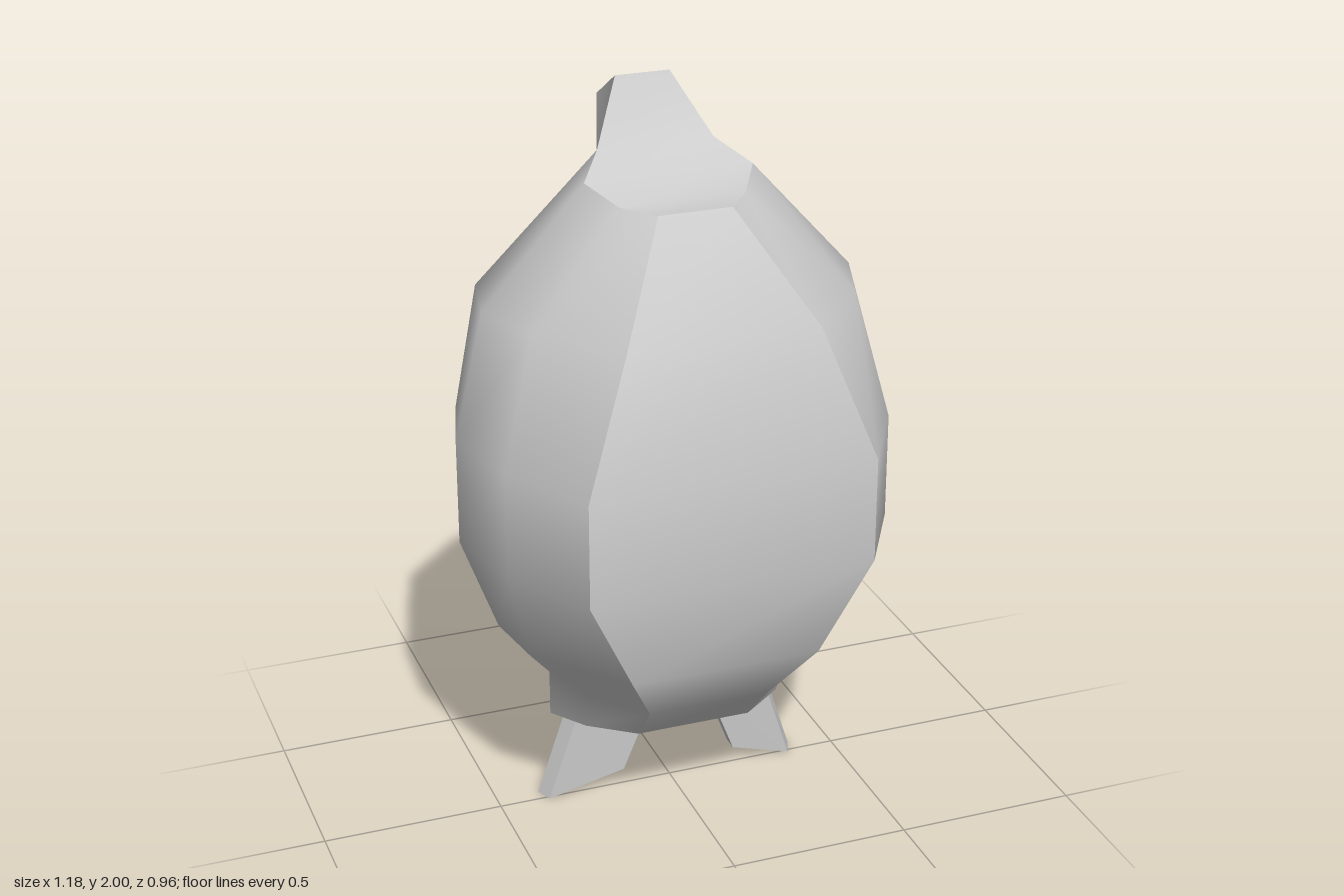
import * as THREE from 'three';

const material = new THREE.MeshStandardMaterial({ color: 0xcccccc });
const flip = ([x, y, z]) => [-x, y, z];

// Smooth surface over rows of points: columns run left to right, rows bottom to top, seen from outside.
function panel(name, rows) {
  const n = rows[0].length, index = [];
  for (let r = 0; r < rows.length - 1; r++) {
    for (let c = 0; c < n - 1; c++) {
      const a = r * n + c, b = a + 1, d = a + n, e = d + 1;
      index.push(a, b, e, a, e, d);
    }
  }
  const geo = new THREE.BufferGeometry();
  geo.setAttribute('position', new THREE.Float32BufferAttribute(rows.flat(2), 3));
  geo.setIndex(index);
  geo.computeVertexNormals();
  const mesh = new THREE.Mesh(geo, material);
  mesh.name = name;
  return mesh;
}

// Strip spanning -x to +x through a list of right-hand points.
const strip = (name, pts) => panel(name, pts.map((p) => [flip(p), p]));

// Half rings from the front corner, round the +x side, to the back corner.
const level = (y, ...xz) => xz.map(([x, z]) => [x, y, z]);
const rings = [
  level(0.27, [0.16, 0.19], [0.28, 0.10], [0.35, 0], [0.28, -0.10], [0.13, -0.18]),
  level(0.40, [0.17, 0.31], [0.29, 0.16], [0.35, 0], [0.29, -0.14], [0.16, -0.27]),
  level(0.57, [0.26, 0.43], [0.46, 0.19], [0.49, 0], [0.47, -0.19], [0.24, -0.38]),
  level(0.84, [0.39, 0.48], [0.53, 0.24], [0.59, 0], [0.53, -0.21], [0.26, -0.48]),
  level(1.13, [0.39, 0.48], [0.53, 0.24], [0.59, 0], [0.53, -0.21], [0.26, -0.48]),
  level(1.48, [0.26, 0.40], [0.44, 0.20], [0.51, 0], [0.47, -0.19], [0.26, -0.40]),
  [[0.10, 1.75, 0.19], [0.17, 1.75, 0.10], [0.23, 1.79, 0], [0.16, 1.84, -0.10], [0.11, 1.75, -0.25]],
];

// Tapered fin, sheared so that its outer edge shows from the front.
function fin(name, side, topInner, bottomInner) {
  const outline = [[topInner, 0.28], [bottomInner, 0.05], [0.36, 0], [0.27, 0.28]];
  const shape = new THREE.Shape(outline.map(([x, y]) => new THREE.Vector2(side * x, y)));
  const geo = new THREE.ExtrudeGeometry(shape, { depth: 0.045, bevelEnabled: false });
  const p = geo.attributes.position;
  for (let i = 0; i < p.count; i++) {
    const back = p.getZ(i) < 0.02, outer = Math.abs(p.getX(i)) > 0.25;
    if (back && outer) p.setX(i, p.getX(i) + side * 0.02);
    p.setZ(i, p.getZ(i) - 0.035 + (p.getY(i) > 0.2 ? 0.01 : 0));
  }
  geo.computeVertexNormals();
  const mesh = new THREE.Mesh(geo, material);
  mesh.name = name;
  return mesh;
}

export function createModel() {
  const model = new THREE.Group();
  model.name = 'podWithStem';

  // Body: flat front and back panels with rounded flanks
  const body = new THREE.Group();
  body.name = 'body';
  body.add(
    strip('frontPanel', rings.map((r) => r[0])),
    panel('backPanel', rings.map((r) => [r[4], flip(r[4])])),
    panel('leftFlank', rings),
    panel('rightFlank', rings.map((r) => r.map(flip).reverse())),
    strip('underside', [...rings[0]].reverse()),
  );

  // Cap sweeping up into a square stem that leans back
  const tip = [0.075, 2, -0.2], tipBack = [0.075, 1.91, -0.35];
  const top = rings[6], root = top[3], rootBack = top[4];
  const stem = new THREE.Group();
  stem.name = 'stem';
  stem.add(
    strip('cap', [...top.slice(0, 4), tip]),
    strip('stemEnd', [tip, tipBack]),
    strip('stemBack', [tipBack, rootBack]),
    panel('stemLeft', [[root, rootBack], [tip, tipBack]]),
    panel('stemRight', [[flip(rootBack), flip(root)], [flip(tipBack), flip(tip)]]),
  );

  // Base plate and fins
  const plate = new THREE.Mesh(new THREE.BoxGeometry(0.54, 0.04, 0.12), material);
  plate.name = 'basePlate';
  plate.position.set(0, 0.272, -0.01);
  model.add(body, stem, plate, fin('leftFin', 1, 0.10, 0.19), fin('rightFin', -1, 0.05, 0.14));
  return model;
}
